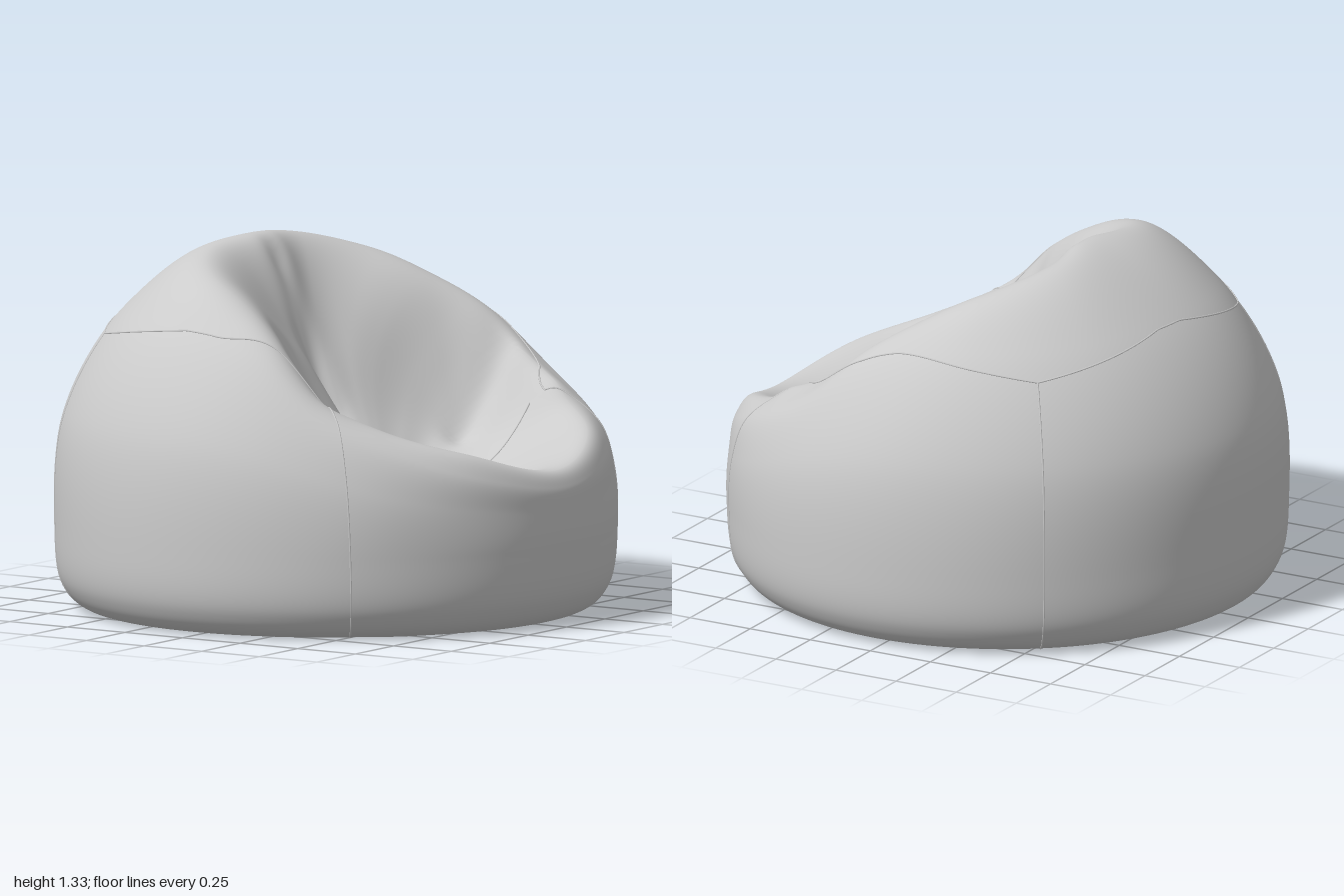
import * as THREE from 'three';
import { mergeVertices } from 'three/addons/utils/BufferGeometryUtils.js';

const RAD = Math.PI / 180;
const PIT = new THREE.Vector3(0.27, 0.38, 0);

// Half of the bag, from the low front lip (0) to the tall back (180):
// angle, then radius and height of wall, shoulder, rim and inner slope
const HALF = [
  [0, 0.995, 0.42, 0.985, 0.51, 0.94, 0.567, 0.6, 0.47],
  [25, 0.99, 0.46, 0.97, 0.58, 0.9, 0.66, 0.58, 0.52],
  [45, 0.985, 0.52, 0.92, 0.69, 0.8, 0.75, 0.53, 0.59],
  [60, 0.97, 0.59, 0.86, 0.81, 0.74, 0.85, 0.44, 0.7],
  [75, 0.96, 0.66, 0.77, 0.99, 0.64, 1.04, 0.36, 0.85],
  [90, 0.955, 0.7, 0.74, 1.06, 0.56, 1.15, 0.25, 0.93],
  [110, 0.955, 0.71, 0.75, 1.08, 0.52, 1.235, 0.18, 0.96],
  [142, 0.965, 0.71, 0.75, 1.09, 0.43, 1.305, 0.11, 0.93],
  [180, 0.97, 0.71, 0.73, 1.1, 0.31, 1.33, 0.07, 0.88],
];
const KEYS = [
  ...HALF.slice(1, -1).reverse().map(([a, ...r]) => [-a, ...r]),
  ...HALF,
];
const N = KEYS.length;
// Full turn as a periodic list; the back key is the last one
const key = (i) => {
  const turn = Math.floor(i / N), k = KEYS[i - turn * N];
  return [k[0] + 360 * turn, ...k.slice(1)];
};

// Smooth periodic interpolation between the key sections
function section(deg) {
  let d = deg;
  while (d > 180) d -= 360;
  while (d <= -180) d += 360;
  let i = -1;
  while (key(i + 1)[0] <= d) i++;
  const [p, a, b, n] = [key(i - 1), key(i), key(i + 1), key(i + 2)];
  const h = b[0] - a[0], t = (d - a[0]) / h, t2 = t * t, t3 = t2 * t;
  return a.map((_, c) => {
    const ma = (b[c] - p[c]) / (b[0] - p[0]) * h;
    const mb = (n[c] - a[c]) / (n[0] - a[0]) * h;
    return (2 * t3 - 3 * t2 + 1) * a[c] + (t3 - 2 * t2 + t) * ma
      + (3 * t2 - 2 * t3) * b[c] + (t3 - t2) * mb;
  });
}

// Profile from the centre of the underside, up the wall, over the rim to the pit
const EDGE = 3, SHOULDER = 6, RIM = 7, LAST = 9;
function profile(deg) {
  const s = section(deg), a = deg * RAD;
  const skew = 1 + 0.02 * Math.cos(2 * (a + 0.65));
  const at = (r, y) => new THREE.Vector3(r * skew * Math.cos(a), y, r * skew * Math.sin(a));
  return new THREE.CatmullRomCurve3([
    at(0, 0.05), at(0.5, 0.04), at(0.89, 0.008), at(0.97, 0.09), at(0.997, 0.3),
    at(s[1], s[2]), at(s[3], s[4]), at(s[5], s[6]), at(s[7], s[8]), PIT.clone(),
  ], false, 'centripetal');
}

// Folds pressed into the seat (negative: raised): start x z, end x z, width, depth
const FOLDS = [
  [-0.24, 0, 0, 0, 0.05, 0.06],
  [0.02, -0.12, 0.2, -0.45, 0.14, 0.08],
  [0.27, -0.4, 0.3, -0.62, 0.05, 0.04],
  [0.36, -0.66, 0.55, -0.6, 0.08, -0.05],
  [0.15, 0.25, 0.22, 0.55, 0.05, 0.03],
  [0.32, 0.4, 0.37, 0.6, 0.05, 0.03],
];
function foldDepth(x, z) {
  let sum = 0;
  for (const [ax, az, bx, bz, w, d] of FOLDS) {
    const ux = bx - ax, uz = bz - az;
    const t = THREE.MathUtils.clamp(((x - ax) * ux + (z - az) * uz) / (ux * ux + uz * uz), 0, 1);
    const q = Math.hypot(x - ax - ux * t, z - az - uz * t) / w;
    sum += d * Math.exp(-q * q);
  }
  return sum;
}

// Crumpled cloth of the underside
function crumple(x, z) {
  const a = Math.abs(Math.sin(4.1 * x + 2.3 * z + 1.2 * Math.sin(3 * z)));
  const b = Math.abs(Math.sin(3.3 * z - 3.7 * x + 1.5 * Math.sin(2.6 * x + 1)));
  return 0.07 * a * b + 0.03 * Math.abs(Math.sin(6 * x - 3 * z + 2 * Math.sin(4 * z)));
}

function pointOn(curve, v) {
  const p = curve.getPoint(v / LAST), r = Math.hypot(p.x, p.z);
  if (v < EDGE) {
    const f = 1 - THREE.MathUtils.smoothstep(r, 0.6, 0.88);
    p.y = Math.max(0, p.y * (1 - f) + f * (0.005 + crumple(p.x, p.z)));
  } else if (v > SHOULDER) {
    p.y -= foldDepth(p.x, p.z) * THREE.MathUtils.smoothstep(v, SHOULDER, RIM + 0.5);
  }
  return p;
}
const surface = (deg, v) => pointOn(profile(deg), v);

function bagGeometry(around = 216, up = 144) {
  const pos = [], index = [];
  for (let j = 0; j < around; j++) {
    const curve = profile(j * 360 / around);
    for (let i = 0; i <= up; i++) pos.push(...pointOn(curve, LAST * i / up).toArray());
  }
  const id = (j, i) => (j % around) * (up + 1) + i;
  for (let j = 0; j < around; j++) {
    for (let i = 0; i < up; i++) {
      const a = id(j, i), b = id(j, i + 1), c = id(j + 1, i), d = id(j + 1, i + 1);
      if (i > 0) index.push(a, b, c);
      if (i < up - 1) index.push(c, b, d);
    }
  }
  const g = new THREE.BufferGeometry();
  g.setAttribute('position', new THREE.Float32BufferAttribute(pos, 3));
  g.setIndex(index);
  // The first triangle of each pole fan uses the shared centre point
  for (let j = 0; j < around; j++) index.push(id(j, 0), id(j, 1), id(j + 1, 1));
  g.setIndex(index);
  const merged = mergeVertices(g, 1e-5);
  merged.computeVertexNormals();
  return merged;
}

export function createModel() {
  const group = new THREE.Group();
  group.name = 'beanBagChair';
  const material = new THREE.MeshStandardMaterial({ color: 0xcccccc });
  const add = (name, geometry) => {
    const mesh = new THREE.Mesh(geometry, material);
    mesh.name = name;
    group.add(mesh);
  };
  add('bag', bagGeometry());

  // Fine seam along a path given as t -> [angle, profile position]
  const seam = (name, path, steps = 48) => {
    const pts = Array.from({ length: steps + 1 }, (_, i) => surface(...path(i / steps)));
    pts.forEach((p) => { p.y = Math.max(p.y, 0.004); });
    add(name, new THREE.TubeGeometry(new THREE.CatmullRomCurve3(pts), steps * 2, 0.0035, 6));
  };
  const { lerp, smoothstep } = THREE.MathUtils;

  // The top panel dips to a point at the two back corners
  const DIP = 0.27;
  const dip = (deg) => DIP * Math.max(0, 1 - Math.min(Math.abs(deg - 142.5), Math.abs(deg - 232.5)) / 40);

  // Upright seams between the side panels, running under the bag
  const corners = [
    [-37.5, -45, RIM + 0.2], [53, 59, RIM],
    [142.5, 142.5, SHOULDER - DIP], [232.5, 232.5, SHOULDER - DIP],
  ];
  for (const [low, high, top] of corners) {
    seam('uprightSeam', (t) => [lerp(low, high, t ** 4), lerp(1.4, top, t)]);
  }

  // Seams around the top panel
  const topSeam = (name, from, to, rise) => seam(name, (t) => {
    const deg = lerp(from, to, t);
    return [deg, SHOULDER - dip(deg) + rise * smoothstep(t, 0.6, 1)];
  });
  topSeam('backTopSeam', 142.5, 232.5, 0);
  topSeam('leftTopSeam', 142.5, 59, 1);
  topSeam('rightTopSeam', 232.5, 315, 1.2);

  // Seam across the seat, found where the inner slope crosses the seam line
  seam('seatSeam', (t) => {
    const deg = lerp(-45, 58, t), curve = profile(deg), x = 0.38 + 0.12 * (1 - t) ** 2;
    let lo = RIM, hi = LAST;
    for (let k = 0; k < 24; k++) {
      const m = (lo + hi) / 2;
      if (curve.getPoint(m / LAST).x > x) lo = m; else hi = m;
    }
    return [deg, lo];
  });
  return group;
}
